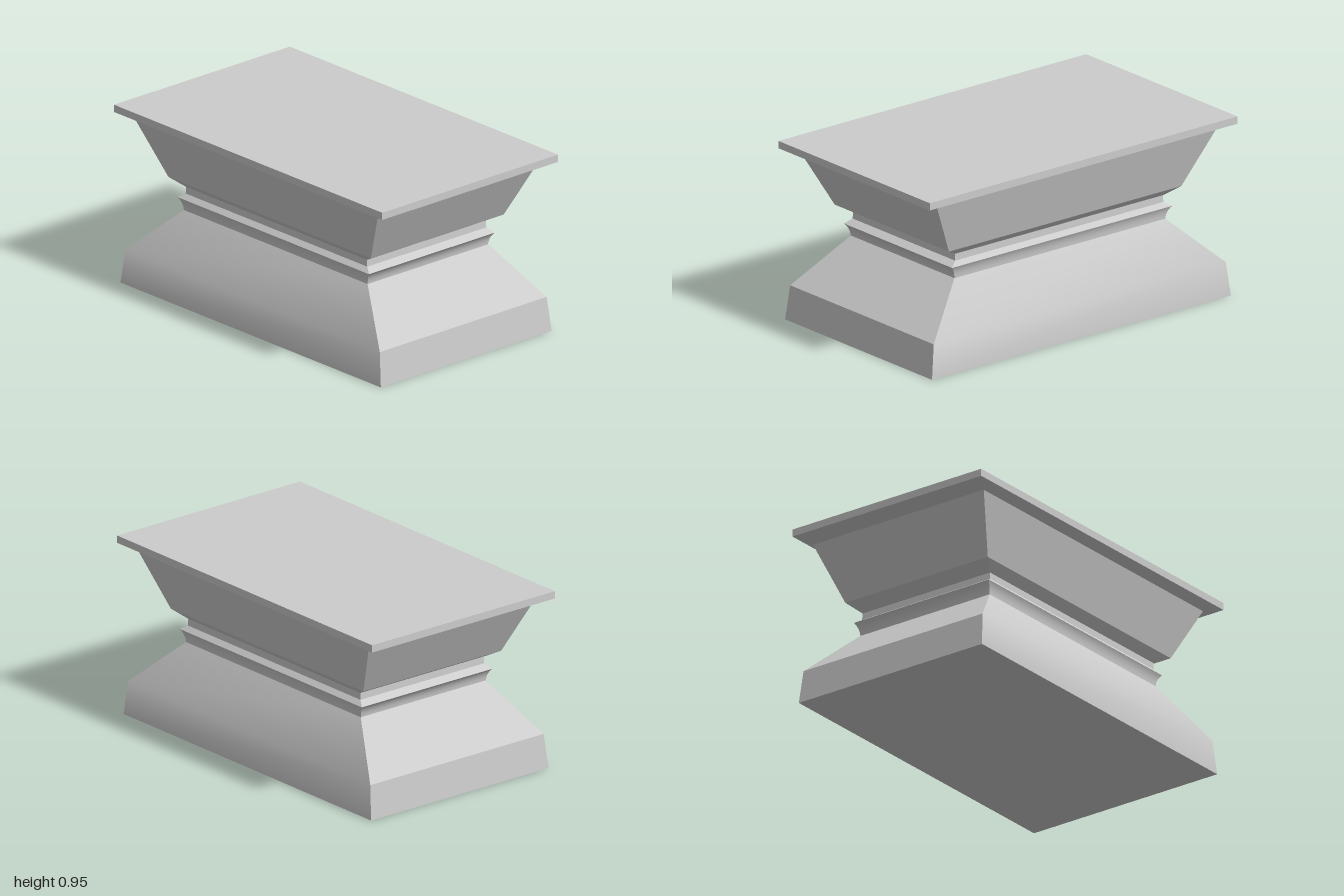
import * as THREE from 'three';
import { mergeGeometries } from 'three/addons/utils/BufferGeometryUtils.js';

const DEPTH = 0.594; // depth of every level relative to its width

// One mitred side of a moulding; profile points are [half width, height]
function side(profile, index, smooth) {
  const corners = [[-1, 1], [1, 1], [1, -1], [-1, -1]];
  const a = corners[index], b = corners[(index + 1) % 4];
  const pos = [], faces = [];
  profile.forEach(([w, y], i) => {
    for (const c of [a, b]) pos.push(c[0] * w, y, c[1] * w * DEPTH);
    const k = i * 2;
    if (i > 0) faces.push(k - 2, k - 1, k + 1, k - 2, k + 1, k);
  });
  let g = new THREE.BufferGeometry();
  g.setAttribute('position', new THREE.Float32BufferAttribute(pos, 3));
  g.setIndex(faces);
  if (smooth) g.computeVertexNormals();
  g = g.toNonIndexed();
  if (!smooth) g.computeVertexNormals();
  return g;
}

// Four sides around the block; smooth(i) picks which sides are softly shaded
function moulding(name, profile, material, smooth = () => false) {
  const sides = [0, 1, 2, 3].map(i => side(profile, i, smooth(i)));
  const mesh = new THREE.Mesh(mergeGeometries(sides), material);
  mesh.name = name;
  return mesh;
}

function cap(name, halfWidth, y, up, material) {
  const g = new THREE.PlaneGeometry(halfWidth * 2, halfWidth * 2 * DEPTH);
  g.rotateX(up ? -Math.PI / 2 : Math.PI / 2);
  const mesh = new THREE.Mesh(g, material);
  mesh.position.y = y;
  mesh.name = name;
  return mesh;
}

export function createModel() {
  const group = new THREE.Group();
  group.name = 'pedestal';
  const mat = new THREE.MeshStandardMaterial({ color: 0xcccccc, side: THREE.DoubleSide });

  // Hollow curve between the base and the collar
  const cove = new THREE.QuadraticBezierCurve(
    new THREE.Vector2(0.685, 0.428), new THREE.Vector2(0.688, 0.468), new THREE.Vector2(0.715, 0.494)
  ).getPoints(6).map(p => [p.x, p.y]);

  group.add(
    cap('baseUnderside', 0.971, 0, false, mat),
    // Plinth and sloping shoulder, soft on the long sides
    moulding('base', [[0.971, 0], [0.949, 0.18], [0.685, 0.428]], mat, i => i % 2 === 0),
    moulding('cove', cove, mat, () => true),
    // Collar chamfer and straight neck
    moulding('neck', [[0.715, 0.494], [0.677, 0.518], [0.675, 0.554]], mat),
    // Flared upper block
    moulding('flaredBlock', [[0.675, 0.554], [0.755, 0.597], [0.905, 0.887]], mat),
    // Overhanging slab
    moulding('topSlab', [[0.905, 0.887], [1, 0.913], [1, 0.952]], mat),
    cap('topSurface', 1, 0.952, true, mat)
  );
  return group;
}
